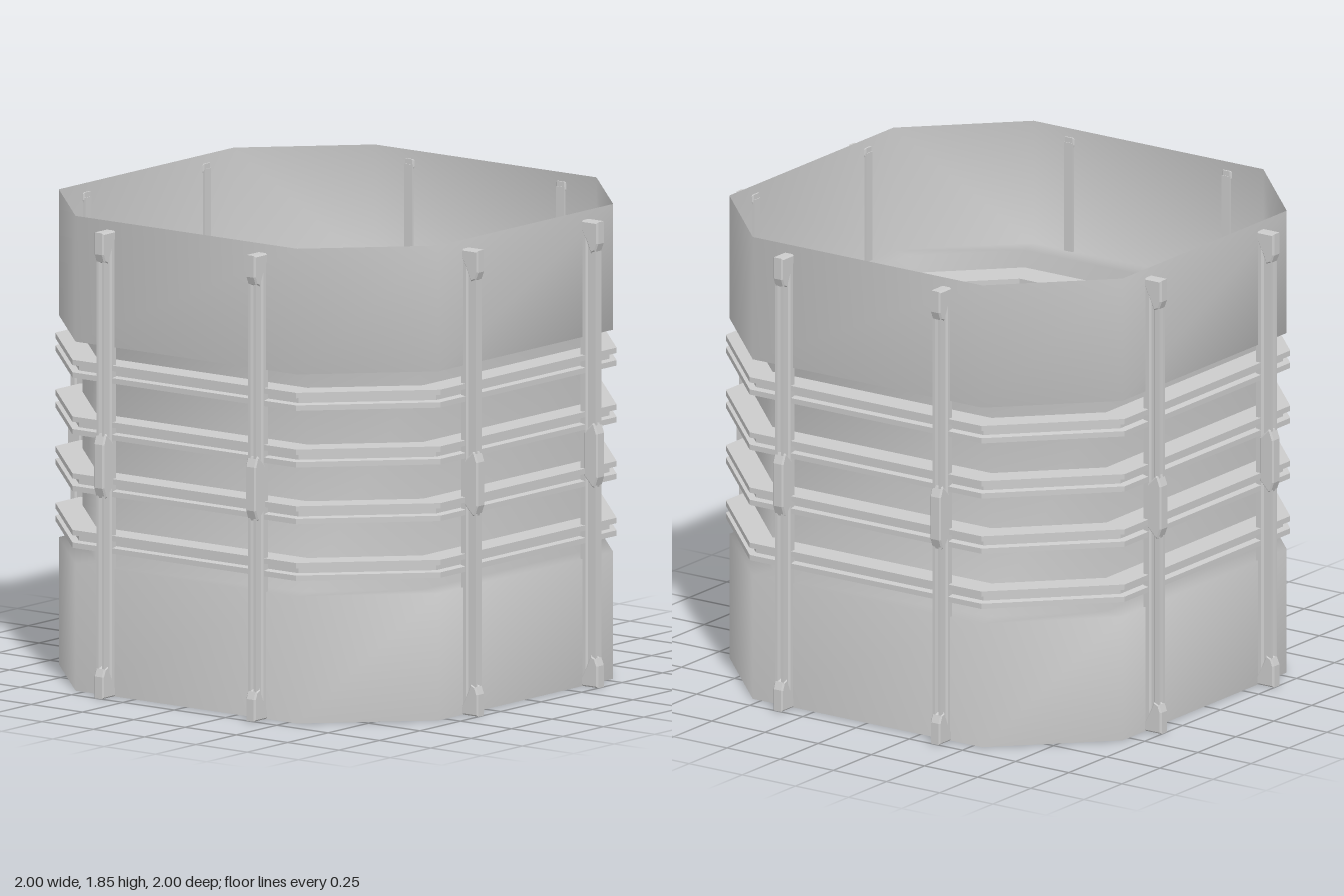
import * as THREE from 'three';
import { toCreasedNormals } from 'three/addons/utils/BufferGeometryUtils.js';

const grey = new THREE.MeshStandardMaterial({ color: 0xcccccc });
const sheet = new THREE.MeshStandardMaterial({ color: 0xcccccc, side: THREE.DoubleSide });

// Chamfered-square loft: each section is [half width, half length of flat side, height]
function loft(sections, closed) {
  const pos = [], idx = [];
  for (const [r, c, y] of sections) {
    for (const [x, z] of [[r, c], [c, r], [-c, r], [-r, c], [-r, -c], [-c, -r], [c, -r], [r, -c]]) pos.push(x, y, z);
  }
  const n = sections.length;
  for (let k = 0; k < (closed ? n : n - 1); k++) {
    for (let j = 0; j < 8; j++) {
      const up = ((k + 1) % n) * 8, j2 = (j + 1) % 8;
      const a = k * 8 + j, b = k * 8 + j2, c = up + j2, d = up + j;
      idx.push(a, d, b, b, d, c);
    }
  }
  const g = new THREE.BufferGeometry();
  g.setAttribute('position', new THREE.Float32BufferAttribute(pos, 3));
  g.setIndex(idx);
  g.computeVertexNormals();
  return g;
}

function add(parent, name, geometry, material = grey) {
  const mesh = new THREE.Mesh(geometry, material);
  mesh.name = name;
  parent.add(mesh);
  return mesh;
}

const shapeOf = (pts) => new THREE.Shape(pts.map(([x, y]) => new THREE.Vector2(x, y)));

// Side outline in (z, y), given a thickness across x
function slab(pts, width) {
  const g = new THREE.ExtrudeGeometry(shapeOf(pts), {
    depth: width - 0.012, bevelEnabled: true, bevelThickness: 0.006, bevelSize: 0.006, bevelOffset: -0.006, bevelSegments: 1,
  });
  return g.rotateY(-Math.PI / 2).translate(width / 2 - 0.006, 0, 0);
}

// Upright strut on the +z face: channelled shaft, two end clamps and a middle collar
function makeStrut() {
  const strut = new THREE.Group();
  const height = 1.815, back = 0.915, front = 0.988, w = 0.019;

  const half = [[w, back], [w, 0.94], [0.012, 0.947], [0.012, 0.962], [w, 0.968], [w, front], [0.008, front], [0.005, 0.972]];
  const outline = [...half, ...half.map(([x, z]) => [-x, z]).reverse()].map(([x, z]) => [x, -z]);
  const shaft = new THREE.ExtrudeGeometry(shapeOf(outline), { depth: height - 0.04, bevelEnabled: false });
  add(strut, 'shaft', shaft.rotateX(-Math.PI / 2).translate(0, 0.02, 0));

  const clamp = [[0.918, 0], [1, 0], [1, 0.085], [0.988, 0.115], [0.965, 0.125], [0.945, 0.08], [0.918, 0.03]];
  add(strut, 'lowerClamp', slab(clamp, 0.046));
  add(strut, 'upperClamp', slab(clamp.map(([z, y]) => [z, height - y]), 0.046));

  const collar = [[0.935, 0.82], [0.975, 0.78], [0.985, 0.78], [1, 0.82], [1, 0.99], [0.985, 1.03], [0.975, 1.03], [0.935, 0.99]];
  add(strut, 'middleCollar', slab(collar, 0.05));
  return strut;
}

export function createModel() {
  const model = new THREE.Group();
  model.name = 'octagonalFrame';

  // Thin open shell: wide bands at both ends, narrower wall between
  const W = 0.925, C = 0.54, w = 0.83, c = 0.515;
  add(model, 'shell', loft([
    [W, C, 0], [W, C, 0.495], [w, c, 0.495], [w, c, 1.36], [W, C, 1.36], [W, C, 1.85],
  ]), sheet);

  // Four grooved rings passing through the wall
  const ringProfile = [
    [0.7, 0.445, -0.035], [0.938, 0.545, -0.035], [0.938, 0.545, -0.014], [0.91, 0.535, -0.01],
    [0.91, 0.535, 0.01], [0.938, 0.545, 0.014], [0.938, 0.545, 0.035], [0.7, 0.445, 0.035],
  ];
  const ringGeometry = toCreasedNormals(loft(ringProfile, true), 0.5);
  for (let i = 0; i < 4; i++) {
    add(model, 'ring' + (i + 1), ringGeometry).position.y = 0.593 + i * 0.221;
  }

  // Two struts on each of the four broad sides
  const strut = makeStrut();
  for (let side = 0; side < 4; side++) {
    const pair = new THREE.Group();
    pair.name = 'strutPair' + (side + 1);
    pair.rotation.y = side * Math.PI / 2;
    for (const x of [-0.37, 0.37]) {
      const s = strut.clone();
      s.name = x > 0 ? 'leftStrut' : 'rightStrut';
      s.position.x = x;
      pair.add(s);
    }
    model.add(pair);
  }
  return model;
}
